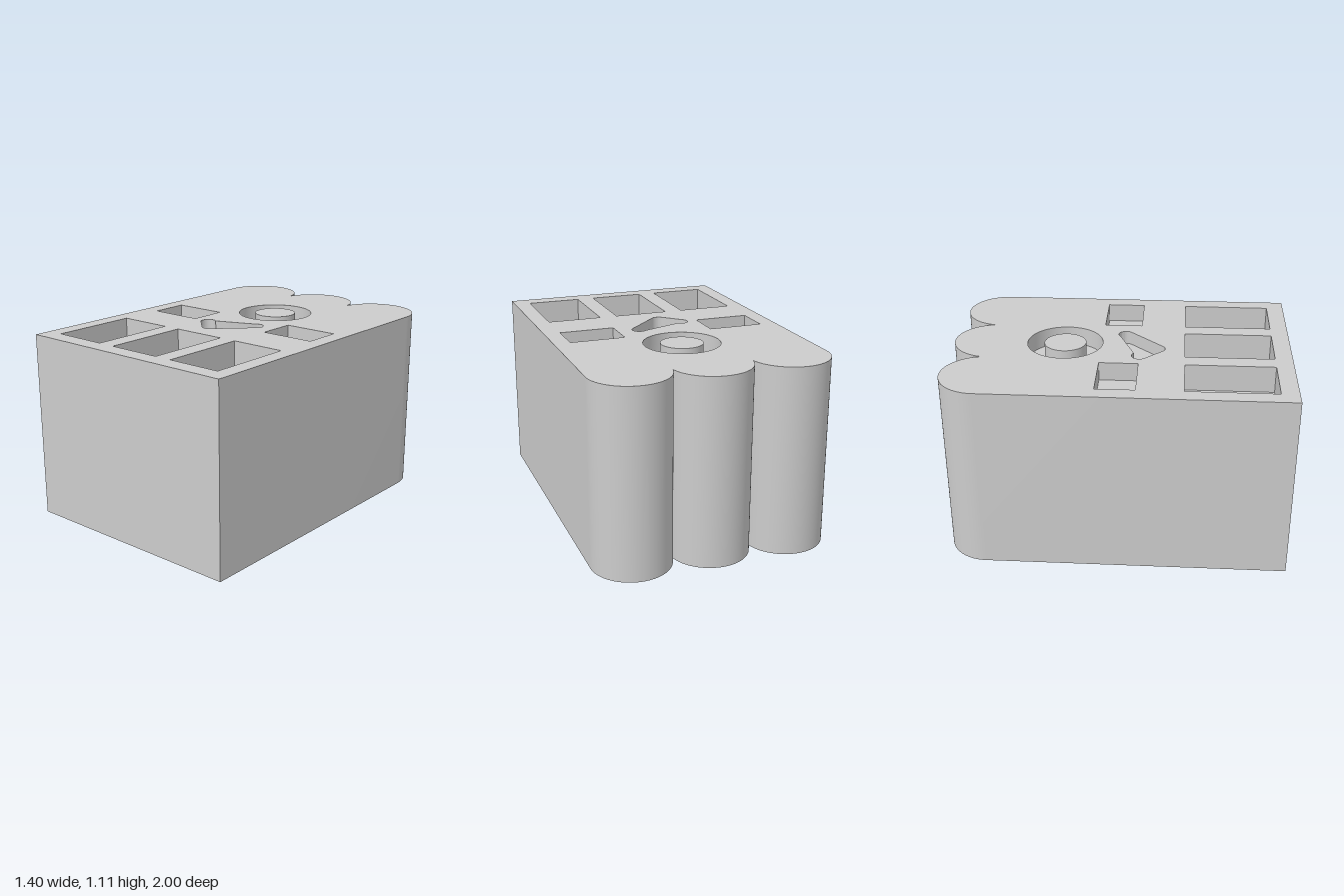
import * as THREE from 'three';
import { toCreasedNormals } from 'three/addons/utils/BufferGeometryUtils.js';

const HEIGHT = 1.11;
const grey = new THREE.MeshStandardMaterial({ color: 0xcccccc });
grey.name = 'plain grey';

// Plans are drawn as (x, -z), anticlockwise seen from above.
const rectangle = (x, z, w, d) => new THREE.Shape([[-1, -1], [1, -1], [1, 1], [-1, 1]]
  .map(([i, j]) => new THREE.Vector2(x + i * w / 2, -z + j * d / 2)));
const circle = (x, z, r) => new THREE.Shape().absarc(x, -z, r, 0, Math.PI * 2, false);

// Body plan: straight sides and front, three round lobes at the back
function bodyPlan() {
  const r = 0.235, pitch = 0.465, cz = 0.765;
  const half = pitch / 2, notch = Math.acos(half / r);
  const s = new THREE.Shape();
  s.moveTo(-0.7, -1);
  s.lineTo(0.7, -1);
  s.absarc(pitch, cz, r, 0, Math.PI - notch, false);
  s.absarc(0, cz, r, notch, Math.PI - notch, false);
  s.absarc(-pitch, cz, r, notch, Math.PI, false);
  s.closePath();
  return s;
}

// Tick-shaped plan: two round-ended arms meeting at a corner
function tickPlan() {
  const r = 0.045, q = Math.PI / 4, h = r * Math.SQRT1_2;
  const bend = [-0.06, -0.215], a = 0.104, b = 0.195;
  const s = new THREE.Shape();
  s.moveTo(bend[0], bend[1] + 2 * h);
  s.absarc(bend[0] - a, bend[1] + a, r, q, 5 * q, false);
  s.absarc(bend[0], bend[1], r, 5 * q, 7 * q, false);
  s.absarc(bend[0] + b, bend[1] + b, r, -q, 3 * q, false);
  s.closePath();
  return s;
}

function addMesh(parent, name, geometry) {
  const mesh = new THREE.Mesh(geometry, grey);
  mesh.name = name;
  parent.add(mesh);
  return mesh;
}

function addFace(parent, name, plan, y, down = false) {
  const face = addMesh(parent, name, new THREE.ShapeGeometry(plan, 32));
  face.geometry.rotateX(-Math.PI / 2);
  if (down) face.geometry.rotateZ(Math.PI);
  face.geometry.translate(0, y, 0);
}

// Upright wall following a plan, facing outwards or inwards
function addWall(parent, name, plan, y0, y1, inward = false) {
  const pts = plan.getPoints(32).filter((p, i, all) => i === 0 || p.distanceTo(all[i - 1]) > 1e-5);
  if (pts[0].distanceTo(pts[pts.length - 1]) < 1e-5) pts.pop();
  if (inward) pts.reverse();
  const pos = [];
  pts.forEach((p, i) => {
    const q = pts[(i + 1) % pts.length];
    pos.push(p.x, y0, -p.y, q.x, y0, -q.y, q.x, y1, -q.y);
    pos.push(p.x, y0, -p.y, q.x, y1, -q.y, p.x, y1, -p.y);
  });
  const g = new THREE.BufferGeometry();
  g.setAttribute('position', new THREE.Float32BufferAttribute(pos, 3));
  addMesh(parent, name, toCreasedNormals(g, Math.PI / 6));
}

export function createModel() {
  const model = new THREE.Group();
  model.name = 'block';

  // Recesses sunk into the top
  const recesses = [
    ...[-0.437, 0, 0.437].map(x => ({ name: 'frontPocket', plan: rectangle(x, 0.637, 0.33, 0.52), depth: 0.16 })),
    ...[-0.437, 0.437].map(x => ({ name: 'sidePocket', plan: rectangle(x, -0.003, 0.33, 0.226), depth: 0.11 })),
    { name: 'ringGroove', plan: circle(0, -0.337, 0.225), depth: 0.11, post: circle(0, -0.337, 0.125) },
    { name: 'tickGroove', plan: tickPlan(), depth: 0.08 },
  ];

  // Outer shell
  addWall(model, 'sideWall', bodyPlan(), 0, HEIGHT);
  addFace(model, 'base', bodyPlan(), 0, true);
  const top = bodyPlan();
  top.holes.push(...recesses.map(r => r.plan.clone()));
  addFace(model, 'top', top, HEIGHT);

  // Walls and floors of the recesses, and the post inside the ring
  for (const { name, plan, depth, post } of recesses) {
    const group = new THREE.Group();
    group.name = name;
    const floorY = HEIGHT - depth;
    addWall(group, name + 'Wall', plan, floorY, HEIGHT, true);
    const floor = plan.clone();
    if (post) {
      floor.holes.push(post.clone());
      addWall(group, 'postWall', post, floorY, HEIGHT);
      addFace(group, 'postTop', post, HEIGHT);
    }
    addFace(group, name + 'Floor', floor, floorY);
    model.add(group);
  }
  return model;
}
